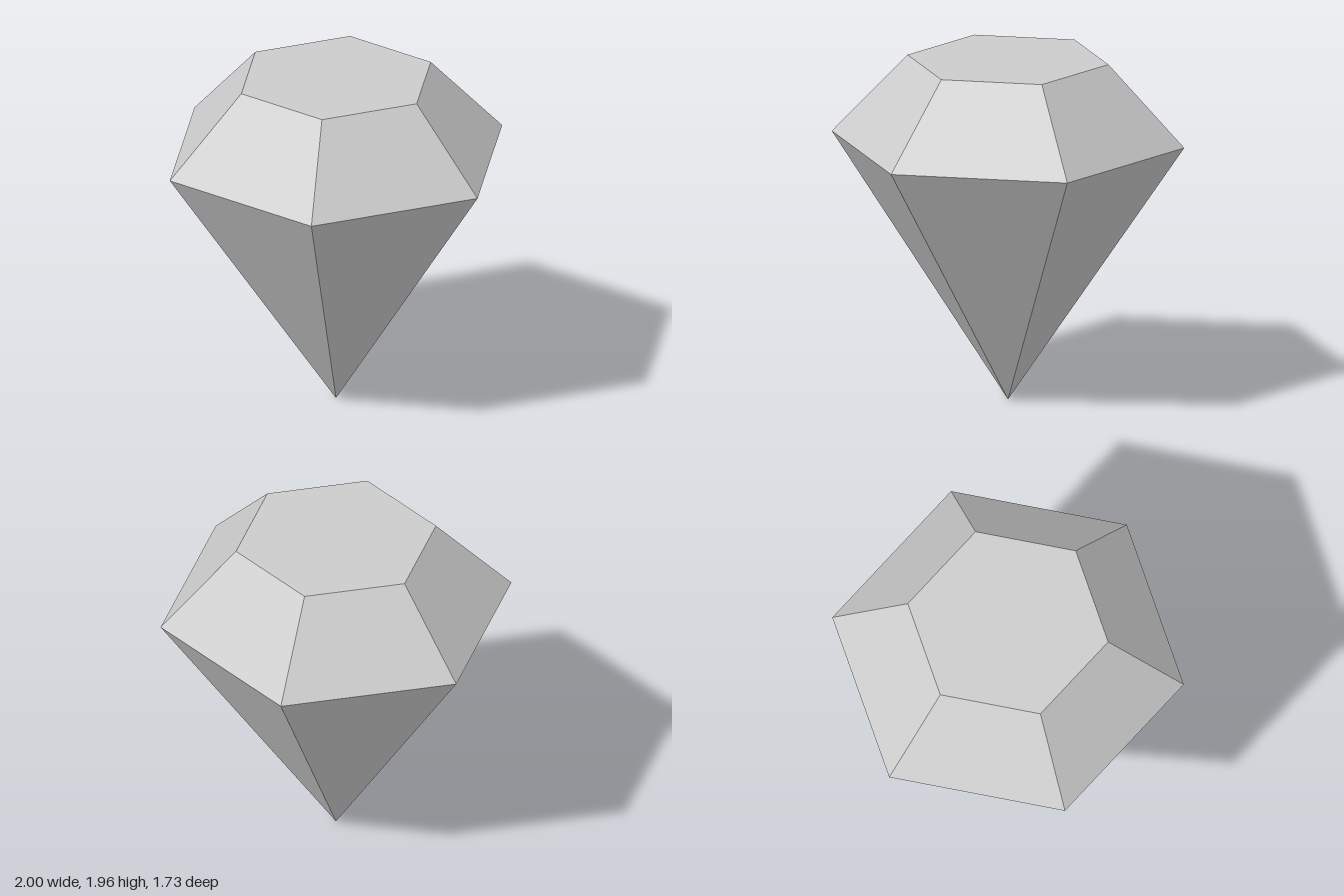
import * as THREE from 'three';

const SIDES = 6;
const GIRDLE_Y = 1.5, TOP_Y = 1.96;
const GIRDLE_R = 1, TABLE_R = 0.57;

export function createModel() {
  const group = new THREE.Group();
  group.name = 'cutGem';

  const material = new THREE.MeshStandardMaterial({ color: 0xcccccc, flatShading: true });
  material.name = 'paleGrey';

  const add = (name, geometry, y) => {
    const mesh = new THREE.Mesh(geometry, material);
    mesh.name = name;
    mesh.position.y = y;
    group.add(mesh);
    return mesh;
  };

  // Each ring starts a quarter turn round so that corners lie on the x axis
  const band = (topR, bottomR, height) =>
    new THREE.CylinderGeometry(topR, bottomR, height, SIDES, 1, true, Math.PI / 2);

  // Long lower facets meeting in a point
  add('pavilion', band(GIRDLE_R, 0, GIRDLE_Y), GIRDLE_Y / 2);

  // Sloping upper facets
  add('crown', band(TABLE_R, GIRDLE_R, TOP_Y - GIRDLE_Y), (GIRDLE_Y + TOP_Y) / 2);

  // Flat hexagonal top
  add('table', new THREE.CircleGeometry(TABLE_R, SIDES).rotateX(-Math.PI / 2), TOP_Y);

  return group;
}
